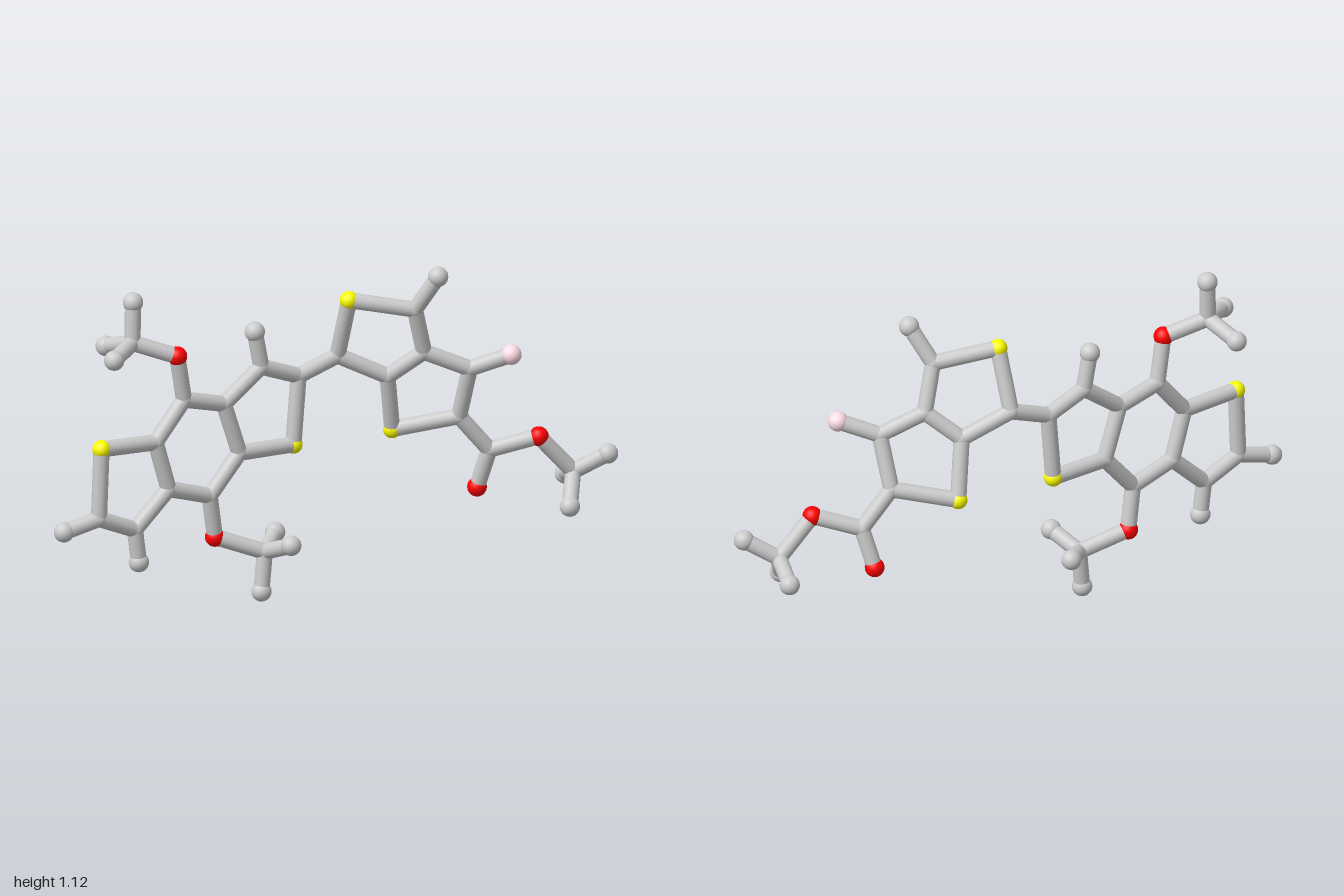
import * as THREE from 'three';

const BOND_RADIUS = 0.027;
const KINDS = {
  C: { name: 'carbon', radius: 0.028, color: 0xcccccc },
  H: { name: 'hydrogen', radius: 0.034, color: 0xcccccc },
  S: { name: 'sulfur', radius: 0.031, color: 0xffff00 },
  O: { name: 'oxygen', radius: 0.033, color: 0xff0000 },
  F: { name: 'fluorine', radius: 0.034, color: 0xffdde6 },
};

// Each fused ring system is flat: z follows from x and y
const leftPlane = (x) => -0.095 - 0.185 * x;
const rightPlane = (x, y) => -0.095 + 0.36 * (x - 0.08) + 0.29 * (y - 0.795);

// Ring atoms: id -> [kind, x, y]
const leftRings = {
  s1: ['S', -0.83, 0.61], c2: ['C', -0.84, 0.37], c3: ['C', -0.70, 0.31],
  c3a: ['C', -0.57, 0.43], c7a: ['C', -0.62, 0.60], c8: ['C', -0.51, 0.73],
  c8a: ['C', -0.355, 0.69], c4a: ['C', -0.295, 0.51], c4: ['C', -0.41, 0.38],
  s5: ['S', -0.085, 0.505], c6: ['C', -0.065, 0.74], c7: ['C', -0.21, 0.795],
  h3: ['H', -0.685, 0.195], h7: ['H', -0.235, 0.92],
};
const rightRings = {
  d1: ['C', 0.08, 0.79], t1: ['S', 0.095, 0.998], d2: ['C', 0.305, 0.96],
  d3: ['C', 0.35, 0.80], d4: ['C', 0.245, 0.71], t2: ['S', 0.28, 0.51],
  d5: ['C', 0.485, 0.555], d6: ['C', 0.50, 0.735],
  g2: ['H', 0.365, 1.083], f6: ['F', 0.625, 0.785],
};
// Side groups: id -> [kind, x, y, z]
const sideGroups = {
  h2: ['H', -0.968, 0.34, 0.066],
  // upper methoxy
  o8: ['O', -0.54, 0.888, 0.015], m8: ['C', -0.685, 0.94, -0.025],
  m8a: ['H', -0.68, 1.078, -0.032], m8b: ['H', -0.79, 0.917, 0.072], m8c: ['H', -0.73, 0.90, -0.15],
  // lower methoxy
  o4: ['O', -0.385, 0.23, -0.035], m4: ['C', -0.22, 0.17, 0],
  m4a: ['H', -0.235, 0.036, 0.007], m4b: ['H', -0.17, 0.215, 0.11], m4c: ['H', -0.14, 0.2, -0.105],
  // ester
  e: ['C', 0.59, 0.43, -0.01], eo: ['O', 0.56, 0.295, -0.045], o9: ['O', 0.74, 0.478, 0.058],
  m9: ['C', 0.86, 0.345, 0.065], m9a: ['H', 0.964, 0.41, 0.118],
  m9b: ['H', 0.815, 0.25, 0.147], m9c: ['H', 0.88, 0.302, -0.056],
};

// Chains of bonded atoms
const chains = [
  's1 c2 c3 c3a c7a s1', 'c7a c8 c8a c4a c4 c3a', 'c4a s5 c6 c7 c8a',
  'c2 h2', 'c3 h3', 'c7 h7', 'c6 d1',
  'd1 t1 d2 d3 d4 d1', 'd4 t2 d5 d6 d3', 'd2 g2', 'd6 f6',
  'c8 o8 m8 m8a', 'm8b m8 m8c', 'c4 o4 m4 m4a', 'm4b m4 m4c',
  'd5 e eo', 'e o9 m9 m9a', 'm9b m9 m9c',
];

export function createModel() {
  const model = new THREE.Group();
  const atoms = new THREE.Group();
  const bonds = new THREE.Group();
  atoms.name = 'atoms';
  bonds.name = 'bonds';
  model.add(atoms, bonds);

  const looks = {};
  for (const [key, k] of Object.entries(KINDS)) {
    looks[key] = {
      geometry: new THREE.SphereGeometry(k.radius, 24, 16),
      material: new THREE.MeshStandardMaterial({ color: k.color }),
    };
  }

  const at = {};
  function addAtom(id, kind, x, y, z) {
    const ball = new THREE.Mesh(looks[kind].geometry, looks[kind].material);
    ball.name = KINDS[kind].name + 'Atom';
    ball.position.set(x, y, z);
    at[id] = ball.position;
    atoms.add(ball);
  }
  for (const [id, [k, x, y]] of Object.entries(leftRings)) addAtom(id, k, x, y, leftPlane(x));
  for (const [id, [k, x, y]] of Object.entries(rightRings)) addAtom(id, k, x, y, rightPlane(x, y));
  for (const [id, a] of Object.entries(sideGroups)) addAtom(id, ...a);

  // Sticks: a unit cylinder stretched between two atoms
  const stick = new THREE.CylinderGeometry(BOND_RADIUS, BOND_RADIUS, 1, 16, 1, true);
  const up = new THREE.Vector3(0, 1, 0);
  for (const chain of chains) {
    const ids = chain.split(' ');
    for (let i = 1; i < ids.length; i++) {
      const a = at[ids[i - 1]], b = at[ids[i]];
      const dir = b.clone().sub(a);
      const bond = new THREE.Mesh(stick, looks.C.material);
      bond.name = 'bond';
      bond.position.addVectors(a, b).multiplyScalar(0.5);
      bond.scale.y = dir.length();
      bond.quaternion.setFromUnitVectors(up, dir.normalize());
      bonds.add(bond);
    }
  }
  return model;
}
